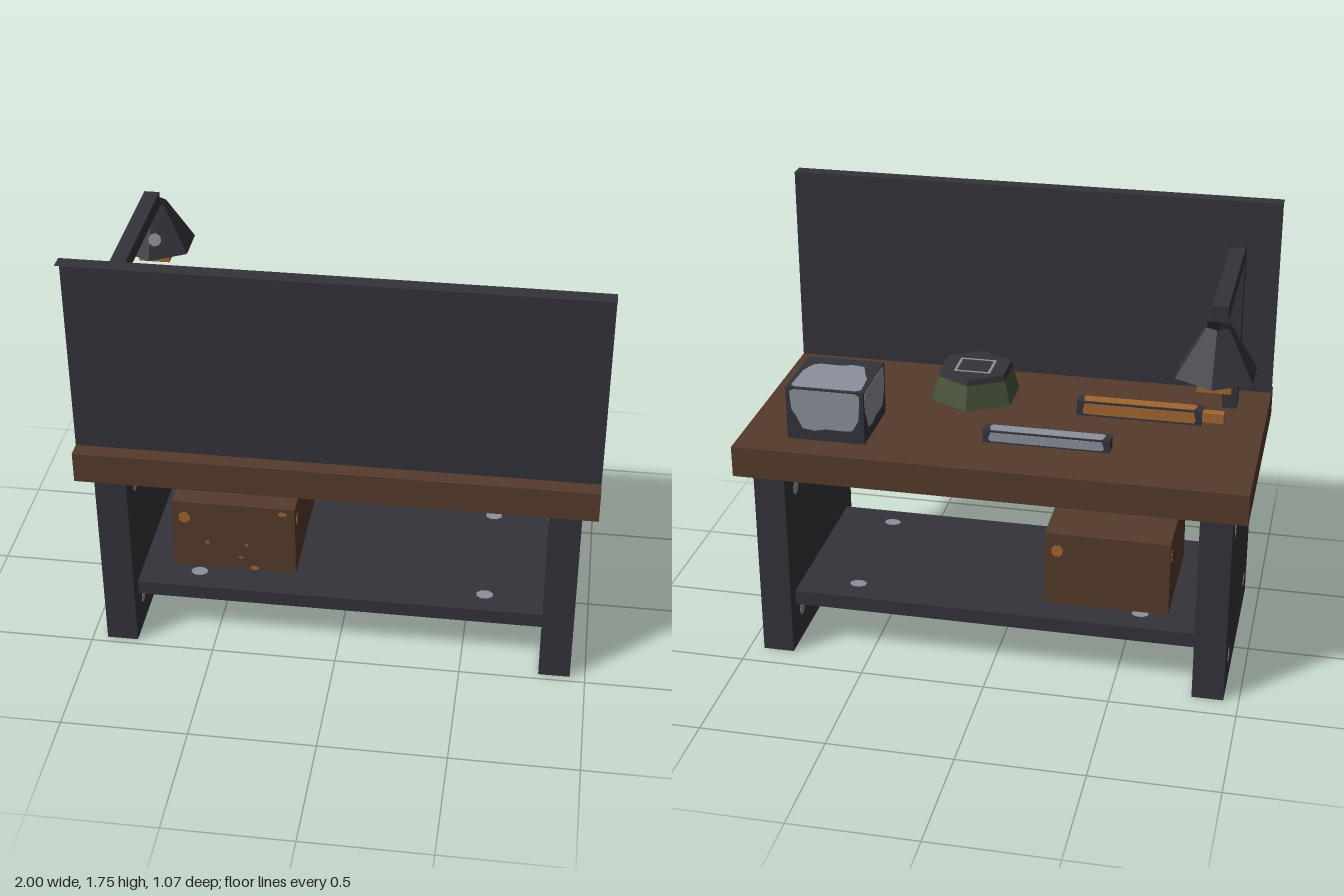
import * as THREE from 'three';

const mat = (name, color, side = THREE.FrontSide) => {
  const m = new THREE.MeshStandardMaterial({ color, side });
  m.name = name;
  return m;
};

export function createModel() {
  const root = new THREE.Group();
  root.name = 'workbench';
  const steel = mat('dark steel', 0x34333a, THREE.DoubleSide);
  const wood = mat('brown wood', 0x553a2b);
  const bare = mat('worn bare metal', 0x8b909b);
  const orange = mat('orange paint', 0xa3652f);
  const green = mat('olive paint', 0x475239);

  const add = (name, geo, material, x = 0, y = 0, z = 0) => {
    const m = new THREE.Mesh(geo, material);
    m.name = name;
    m.position.set(x, y, z);
    root.add(m);
    return m;
  };
  // Box given by its minimum and maximum corners
  const box = (name, material, [x0, y0, z0], [x1, y1, z1]) =>
    add(name, new THREE.BoxGeometry(x1 - x0, y1 - y0, z1 - z0), material,
      (x0 + x1) / 2, (y0 + y1) / 2, (z0 + z1) / 2);
  // Leave one face of a box open: 2 is the top, 3 the bottom
  const openFace = ({ geometry }, face) => {
    const index = Array.from(geometry.index.array);
    index.splice(face * 6, 6);
    geometry.setIndex(index);
    geometry.clearGroups();
  };
  // Six-sided flat-faced prism
  const hex = (name, material, rTop, rBottom, y0, y1, x, z, open = false) => {
    const g = new THREE.CylinderGeometry(rTop, rBottom, y1 - y0, 6, 1, open).toNonIndexed();
    g.computeVertexNormals();
    return add(name, g, material, x, (y0 + y1) / 2, z);
  };
  // Thin plate laid on a surface, facing along dir
  const plate = (name, material, shape, pos, dir) => {
    const g = new THREE.ExtrudeGeometry(shape, { depth: 0.0015, bevelEnabled: false });
    const m = add(name, g, material, ...pos);
    m.lookAt(pos[0] + dir[0], pos[1] + dir[1], pos[2] + dir[2]);
    return m;
  };
  const outline = (pts, w, h) => new THREE.Shape(pts.map(([x, y]) => new THREE.Vector2(x * w, y * h)));
  const WORN = [[-0.5, 0.44], [-0.44, 0.5], [0.44, 0.5], [0.5, 0.44], [0.48, -0.15], [0.39, -0.42],
    [0.28, -0.45], [0, -0.44], [-0.15, -0.5], [-0.33, -0.46], [-0.42, -0.15], [-0.48, 0]];
  const CHIP = [[-0.5, -0.21], [-0.21, -0.5], [0.21, -0.5], [0.5, -0.21], [0.5, 0.21], [0.21, 0.5], [-0.21, 0.5], [-0.5, 0.21]];
  const BAR = [[-0.5, -0.25], [-0.48, -0.5], [0.48, -0.5], [0.5, -0.25], [0.48, 0.5], [-0.48, 0.5]];

  // Bench top
  box('benchTop', wood, [-1, 0.815, -0.465], [1, 0.94, 0.535]);

  // Side legs with bolts on both faces
  for (const s of [-1, 1]) {
    const [a, b] = s < 0 ? [-0.94, -0.815] : [0.815, 0.94];
    box('sideLeg', steel, [a, 0, -0.4], [b, 0.815, 0.473]);
    for (const y of [0.128, 0.685]) for (const z of [-0.265, 0.34]) {
      plate('legBolt', bare, outline(CHIP, 0.056, 0.056), [s * 0.94, y, z], [s, 0, 0]);
      plate('legBolt', bare, outline(CHIP, 0.056, 0.056), [s * 0.815, y, z], [-s, 0, 0]);
    }
  }

  // Lower shelf, a folded tray open below, with bolts through its sheet
  openFace(box('shelf', steel, [-0.815, 0.19, -0.34], [0.815, 0.25, 0.41]), 3);
  for (const x of [-0.58, 0.58]) for (const z of [-0.23, 0.31]) {
    for (const s of [-1, 1])
      plate('shelfBolt', bare, outline(CHIP, 0.065, 0.05), [x, 0.25, z], [0, s, 0]);
  }

  // Upright sheet with a folded lip
  add('uprightPanel', new THREE.PlaneGeometry(2, 0.81), steel, 0, 1.345, 0.472);
  add('panelLip', new THREE.PlaneGeometry(2, 0.06).rotateX(-Math.PI / 2), steel, 0, 1.75, 0.502);

  // Crate with paint chips
  box('crate', wood, [-0.69, 0.25, -0.22], [-0.19, 0.565, 0.275]);
  for (const [x, y, w, h] of [[-0.64, 0.49, 0.045, 0.05], [-0.24, 0.54, 0.035, 0.02],
    [-0.36, 0.262, 0.035, 0.02], [-0.55, 0.375, 0.015, 0.015], [-0.39, 0.375, 0.012, 0.012], [-0.415, 0.31, 0.02, 0.008]])
    plate('crateChip', orange, outline(CHIP, w, h), [x, y, 0.275], [0, 0, 1]);
  plate('crateChip', orange, outline(CHIP, 0.045, 0.05), [-0.24, 0.49, -0.22], [0, 0, -1]);
  plate('crateChip', orange, outline(CHIP, 0.045, 0.05), [-0.19, 0.49, 0.225], [1, 0, 0]);
  plate('crateChip', orange, outline(CHIP, 0.045, 0.05), [-0.69, 0.49, -0.17], [-1, 0, 0]);

  // Lamp post, open at the top
  openFace(box('lampPost', steel, [-0.875, 0.94, 0.287], [-0.815, 1.625, 0.347]), 2);

  // Lamp arm, open shade and square bulb
  box('lampArm', steel, [-0.875, 1.565, -0.34], [-0.815, 1.625, 0.287]);
  hex('lampShade', steel, 0.048, 0.162, 1.38, 1.565, -0.845, -0.373, true);
  box('lampBulb', orange, [-0.907, 1.326, -0.435], [-0.783, 1.388, -0.311]);
  plate('bulbWear', bare, outline(CHIP, 0.045, 0.045), [-0.832, 1.388, -0.37], [0, 1, 0]);
  plate('shadeWear', bare, outline(CHIP, 0.05, 0.05), [-0.827, 1.45, -0.264], [0.5, 0.54, 0.866]);

  // Metal block with worn faces
  box('metalBlock', steel, [0.5, 0.94, -0.34], [0.81, 1.156, -0.03]);
  const bx = 0.655, by = 1.066, bz = -0.185;
  plate('blockWear', bare, outline(WORN, 0.28, 0.24), [bx, 1.156, bz - 0.02], [0, 1, 0]);
  for (const s of [-1, 1]) {
    plate('blockWear', bare, outline(WORN, 0.28, 0.17), [bx + s * 0.155, by, bz], [s, 0, 0]);
    plate('blockWear', bare, outline(WORN, 0.28, 0.17), [bx, by, bz + s * 0.155], [0, 0, s]);
  }

  // Six-sided bowl turned upside down, with a dark rim band and two worn patches
  const cz = 0.22;
  hex('bowlSides', green, 0.159, 0.187, 0.94, 1.04, 0.185, cz);
  hex('bowlBand', steel, 0.152, 0.159, 1.04, 1.065, 0.185, cz);
  plate('bowlSideWear', steel, outline(BAR, 0.05, 0.1), [0.335, 0.99, cz + 0.057], [1, 0.24, 0]);
  plate('bowlSideWear', steel, outline(BAR, 0.045, 0.1), [0.311, 0.99, cz + 0.102], [0.5, 0.24, 0.866]);
  const ring = outline([[-0.5, -0.5], [0.5, -0.5], [0.5, 0.5], [-0.5, 0.5]], 0.15, 0.135);
  ring.holes.push(new THREE.Path([[-1, -1], [-1, 1], [1, 1], [1, -1]].map(([x, y]) => new THREE.Vector2(x * 0.064, y * 0.057))));
  plate('bowlWear', bare, ring, [0.185, 1.065, cz - 0.005], [0, 1, 0]);

  // Two hand tools, each a dark bar with coloured top and flanks
  const tool = (name, material, x0, x1, z0, z1, h) => {
    box(name, steel, [x0, 0.94, z0], [x1, 0.94 + h, z1]);
    const x = (x0 + x1) / 2, z = (z0 + z1) / 2, w = x1 - x0 - 0.045;
    plate(name + 'Face', material, outline(BAR, w, (z1 - z0) * 0.8), [x, 0.94 + h, z], [0, 1, 0]);
    plate(name + 'Face', material, outline(BAR, w, h * 0.75), [x, 0.94 + h / 2, z1], [0, 0, 1]);
    plate(name + 'Face', material, outline(BAR, w, h * 0.75), [x, 0.94 + h / 2, z0], [0, 0, -1]);
  };
  tool('metalBar', bare, -0.44, 0.06, -0.22, -0.157, 0.05);
  tool('orangeTool', orange, -0.755, -0.255, 0.098, 0.16, 0.062);
  box('toolTip', orange, [-0.84, 0.95, 0.11], [-0.755, 0.99, 0.147]);

  return root;
}
